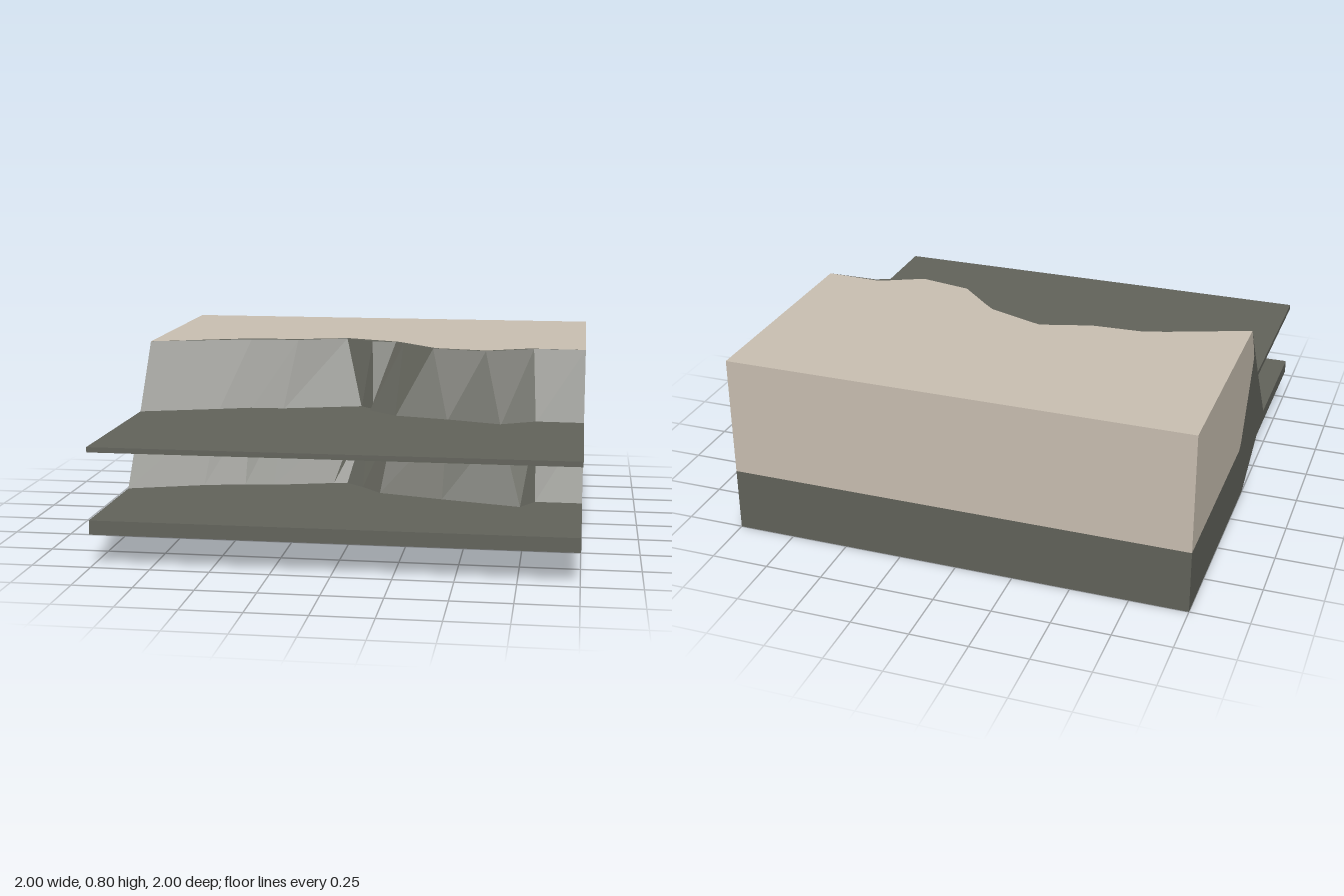
import * as THREE from 'three';

// Outlines of the cliff from -x to +x, as [x, z] at each height
const rim = [[-1, 0], [-0.65, -0.13], [-0.55, -0.16], [-0.33, -0.17], [-0.11, -0.235], [0.03, -0.185],
  [0.14, -0.145], [0.19, -0.1], [0.33, 0.035], [0.56, 0.08], [0.75, -0.01], [1, 0]];
const crest = [[-1, 0], [-0.65, -0.1], [-0.55, -0.13], [-0.33, -0.14], [-0.11, -0.22], [0.02, -0.14],
  [0.13, -0.13], [0.17, -0.09], [0.32, 0.05], [0.56, 0.1], [0.77, 0], [1, 0]];
const waterline = [[-1, 0.21], [-0.66, 0.1], [-0.52, 0.05], [-0.37, 0.045], [-0.02, -0.06], [0.04, 0],
  [0.03, 0.04], [0.16, 0.15], [0.4, 0.21], [0.64, 0.29], [0.79, 0.205], [1, 0.21]];
const foot = [[-1, 0.43], [-0.68, 0.32], [-0.5, 0.28], [-0.37, 0.27], [-0.11, 0.2], [-0.05, 0.19],
  [0.03, 0.26], [0.12, 0.36], [0.4, 0.44], [0.74, 0.53], [0.8, 0.43], [1, 0.43]];

// Boundary between sand and rock on the two cut sides, as [z, y]
const seam = [[0.07, 0.68], [0.085, 0.64], [0.07, 0.6], [-0.095, 0.3], [-0.125, 0.277], [-1, 0.277]];

const makeShape = (points) => new THREE.Shape(points.map(([x, y]) => new THREE.Vector2(x, y)));

// Faceted band between an upper and a lower outline
function band(upper, yUpper, lower, yLower) {
  const p = [];
  for (let i = 0; i < upper.length - 1; i++) {
    const [a, b] = [upper[i], upper[i + 1]].map(([x, z]) => [x, yUpper, z]);
    const [c, d] = [lower[i], lower[i + 1]].map(([x, z]) => [x, yLower, z]);
    p.push(...a, ...c, ...b, ...b, ...c, ...d);
  }
  const g = new THREE.BufferGeometry();
  g.setAttribute('position', new THREE.Float32BufferAttribute(p, 3));
  g.computeVertexNormals();
  return g;
}

// Flat cut face at x = side, from [z, y] points
function cutFace(points, side) {
  const g = new THREE.ShapeGeometry(makeShape(points.map(([z, y]) => [-side * z, y])));
  return g.rotateY(side * Math.PI / 2).translate(side, 0, 0);
}

export function createModel() {
  const rock = new THREE.MeshStandardMaterial({ color: 0x62635b, side: THREE.DoubleSide });
  rock.name = 'rock';
  const sand = new THREE.MeshStandardMaterial({ color: 0xcac0b2, side: THREE.DoubleSide });
  sand.name = 'sand';

  const model = new THREE.Group();
  model.name = 'cliffTile';
  const add = (name, geometry, material) => {
    const mesh = new THREE.Mesh(geometry, material);
    mesh.name = name;
    model.add(mesh);
    return mesh;
  };

  // Cliff front and the sloping skirt under the bed
  const skirt = crest.map(([x, z]) => [x, z + 0.29]);
  add('cliffRim', band(rim, 0.8, crest, 0.8), rock);
  add('upperCliff', band(crest, 0.8, waterline, 0.5), rock);
  add('lowerCliff', band(waterline, 0.5, foot, 0.2), rock);
  add('skirt', band(skirt, 0.14, crest, 0), rock);

  // Sandy plateau
  const plateau = [...rim, [1, -1], [-1, -1]].map(([x, z]) => [x, -z]);
  add('plateau', new THREE.ShapeGeometry(makeShape(plateau)).rotateX(-Math.PI / 2).translate(0, 0.8, 0), sand);

  // Cut sides
  for (const side of [-1, 1]) {
    const label = side > 0 ? 'left' : 'right';
    add(label + 'SandSide', cutFace([[0, 0.8], ...seam, [-1, 0.8]], side), sand);
    add(label + 'RockSide', cutFace([[0, 0.8], [0.21, 0.5], [0.43, 0.2], [0.29, 0.14], [0, 0], [-1, 0],
      ...seam.slice().reverse()], side), rock);
  }

  // Back wall in two layers
  const backPanel = (y0, y1) => new THREE.PlaneGeometry(2, y1 - y0).rotateY(Math.PI).translate(0, (y0 + y1) / 2, -1);
  add('backSand', backPanel(0.277, 0.8), sand);
  add('backRock', backPanel(0, 0.277), rock);

  // Sea bed slab, running under the whole tile
  add('seaBed', new THREE.BoxGeometry(2, 0.06, 1.998).translate(0, 0.17, 0.001), rock);

  // Thin water sheet that ends just inside the cliff
  const sheet = [...waterline.map(([x, z]) => [x, -(z - 0.05)]), [1, -1], [-1, -1]];
  add('waterSheet', new THREE.ExtrudeGeometry(makeShape(sheet), { depth: 0.022, bevelEnabled: false })
    .rotateX(-Math.PI / 2).translate(0, 0.485, 0), rock);

  return model;
}
